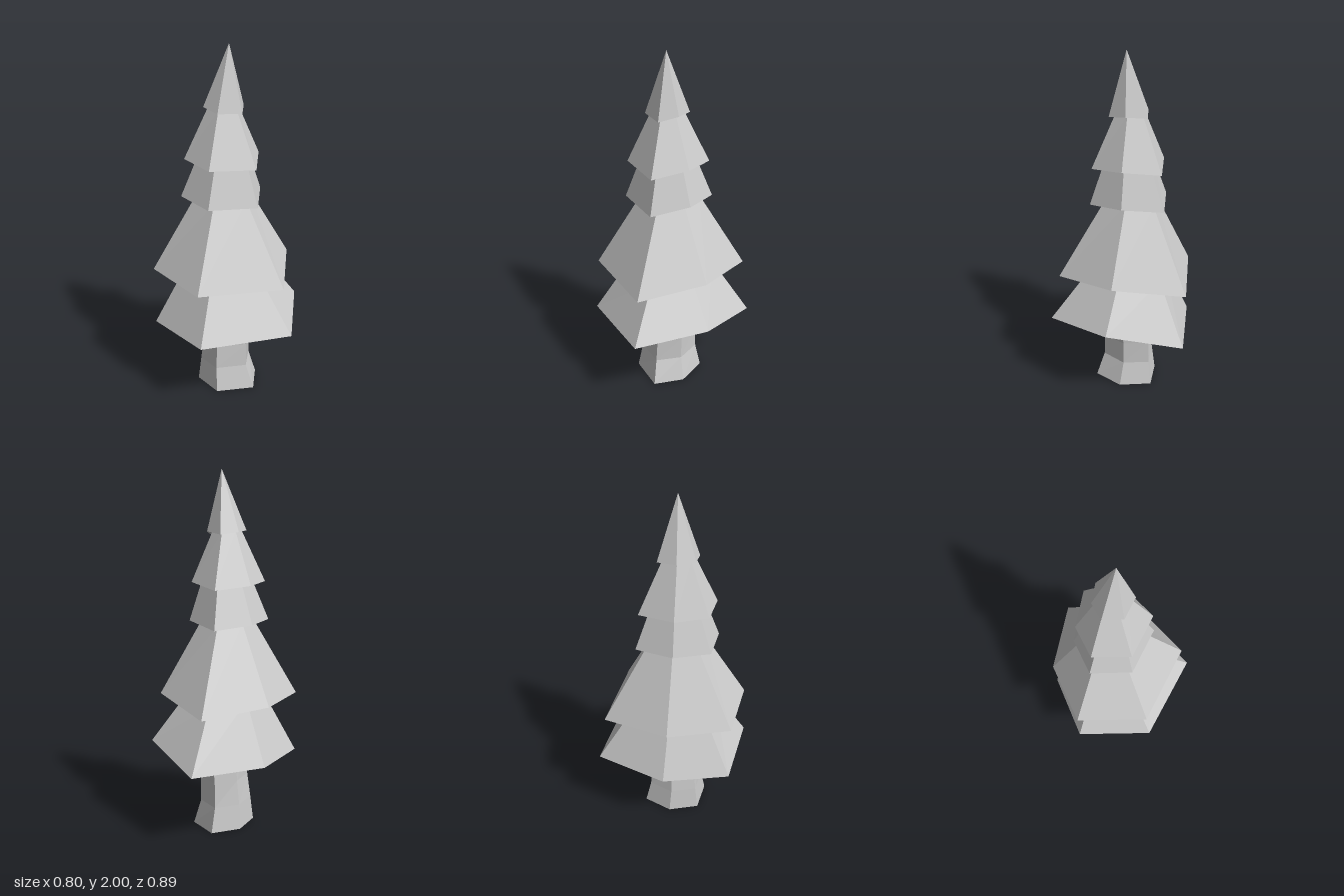
import * as THREE from 'three';

const SIDES = 6;
const material = new THREE.MeshStandardMaterial({ color: 0xcccccc, flatShading: true, side: THREE.DoubleSide });

// Skin a stack of six-cornered rings (bottom to top); a one-point ring is a tip.
function skin(name, rings, closeBottom = false) {
  const pos = [];
  const tri = (a, b, c) => pos.push(...a, ...b, ...c);
  for (let r = 0; r < rings.length - 1; r++) {
    const lo = rings[r], up = rings[r + 1];
    for (let i = 0; i < SIDES; i++) {
      const j = (i + 1) % SIDES;
      tri(lo[j], lo[i], up[i % up.length]);
      if (up.length > 1) tri(lo[j], up[i], up[j]);
    }
  }
  if (closeBottom) {
    for (let i = 1; i < SIDES - 1; i++) tri(rings[0][0], rings[0][i], rings[0][i + 1]);
  }
  const geo = new THREE.BufferGeometry();
  geo.setAttribute('position', new THREE.Float32BufferAttribute(pos, 3));
  geo.computeVertexNormals();
  const mesh = new THREE.Mesh(geo, material);
  mesh.name = name;
  return mesh;
}

// Corners run clockwise from the front left: [x, z] pairs at one height.
const level = (y, corners) => corners.map(([x, z]) => [x, y, z]);

// Shrunken copy of a branch rim, moved to a new centre; keeps part of the next rim's tilt.
function neck(rim, scale, cx, y, cz, next) {
  const mean = (ring, k) => ring.reduce((s, p) => s + p[k], 0) / ring.length;
  const mx = mean(rim, 0), mz = mean(rim, 2), my = mean(next, 1);
  return rim.map((p, i) => [
    cx + (p[0] - mx) * scale,
    y + (next[i][1] - my) * 0.5,
    cz + (p[2] - mz) * scale,
  ]);
}

export function createModel() {
  const group = new THREE.Group();

  // Trunk: flared foot, slight bend
  const trunk = [
    level(0, [[0.16, 0.115], [-0.035, 0.205], [-0.18, 0.1], [-0.15, -0.07], [-0.015, -0.175], [0.13, -0.06]]),
    level(0.14, [[0.11, 0.1], [-0.048, 0.175], [-0.165, 0.09], [-0.14, -0.055], [-0.025, -0.145], [0.09, -0.05]]),
    level(0.28, [[0.11, 0.092], [-0.045, 0.163], [-0.147, 0.085], [-0.125, -0.05], [-0.022, -0.14], [0.09, -0.05]]),
    level(0.45, [[0.13, 0.095], [-0.03, 0.165], [-0.14, 0.085], [-0.115, -0.05], [-0.01, -0.14], [0.105, -0.045]]),
  ];
  group.add(skin('trunk', trunk, true));

  // Uneven outer rims of the branch tiers, bottom to top
  const rims = [
    [[0.397, 0.465, 0.228], [-0.056, 0.437, 0.443], [-0.4, 0.418, 0.197], [-0.315, 0.42, -0.168], [0.004, 0.422, -0.448], [0.335, 0.515, -0.178]],
    [[0.343, 0.735, 0.207], [-0.075, 0.745, 0.42], [-0.4, 0.758, 0.197], [-0.33, 0.755, -0.15], [-0.04, 0.727, -0.415], [0.282, 0.79, -0.17]],
    [[0.175, 1.16, 0.125], [-0.062, 1.17, 0.25], [-0.25, 1.185, 0.127], [-0.212, 1.18, -0.073], [-0.048, 1.165, -0.225], [0.138, 1.192, -0.09]],
    [[0.163, 1.37, 0.118], [-0.06, 1.382, 0.235], [-0.23, 1.397, 0.12], [-0.2, 1.39, -0.062], [-0.045, 1.375, -0.205], [0.127, 1.402, -0.083]],
    [[0.075, 1.652, 0.075], [-0.04, 1.66, 0.137], [-0.133, 1.675, 0.08], [-0.12, 1.67, -0.02], [-0.04, 1.66, -0.097], [0.055, 1.672, -0.033]],
  ];
  // Neck on top of each tier: scale, centre x, y, z
  const necks = [
    [0.53, -0.025, 0.76, 0.01],
    [0.38, -0.04, 1.18, 0.012],
    [0.65, -0.035, 1.39, 0.02],
    [0.39, -0.037, 1.67, 0.022],
  ];

  // Branch tiers: underside from the neck below, then a sloping skirt
  let below = trunk[3];
  rims.forEach((rim, i) => {
    const top = i < necks.length ? neck(rim, ...necks[i], rims[i + 1]) : [[-0.008, 2, 0.027]];
    group.add(skin(`branchTier${i + 1}`, [below, rim, top]));
    below = top;
  });

  return group;
}
